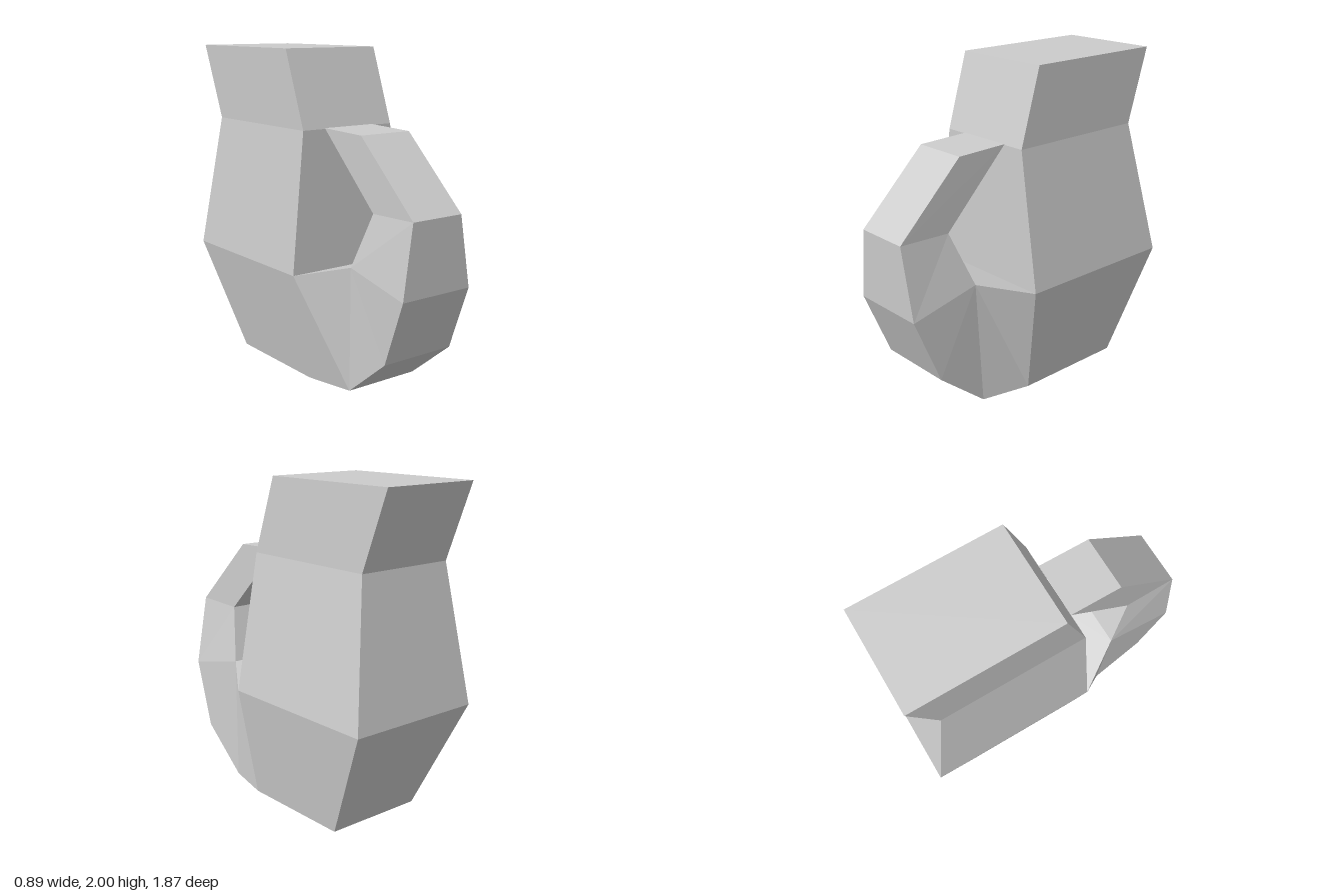
import * as THREE from 'three';

// Skin a list of four-cornered rings. Each ring has an outer and an inner
// edge running along x, written as [xMin, xMax, y, z].
function loft(rings, capStart, capEnd) {
  const corners = rings.map(([o, i]) => [
    new THREE.Vector3(o[0], o[2], o[3]),
    new THREE.Vector3(o[1], o[2], o[3]),
    new THREE.Vector3(i[1], i[2], i[3]),
    new THREE.Vector3(i[0], i[2], i[3]),
  ]);
  const positions = [];
  const triangle = (a, b, c) => {
    if (a.equals(b) || b.equals(c) || c.equals(a)) return; // rings may share an edge
    for (const p of [a, b, c]) positions.push(p.x, p.y, p.z);
  };
  const quad = (a, b, c, d) => {
    triangle(a, b, c);
    triangle(a, c, d);
  };
  for (let r = 0; r < corners.length - 1; r++) {
    for (let k = 0; k < 4; k++) {
      const n = (k + 1) % 4;
      quad(corners[r][k], corners[r][n], corners[r + 1][n], corners[r + 1][k]);
    }
  }
  if (capStart) quad(...[...corners[0]].reverse());
  if (capEnd) quad(...corners[corners.length - 1]);

  const geometry = new THREE.BufferGeometry();
  geometry.setAttribute('position', new THREE.Float32BufferAttribute(positions, 3));
  geometry.computeVertexNormals();
  return geometry;
}

export function createModel() {
  const group = new THREE.Group();
  group.name = 'jug';
  const grey = new THREE.MeshStandardMaterial({ color: 0xcccccc, flatShading: true });
  grey.name = 'grey';

  const add = (name, geometry) => {
    const mesh = new THREE.Mesh(geometry, grey);
    mesh.name = name;
    group.add(mesh);
  };

  // Body: front and back edge of each level, from base to top
  add('body', loft([
    [[-0.30, 0.34, 0, 0.13], [-0.30, 0.34, 0, -0.61]],
    [[-0.445, 0.445, 0.685, 0.175], [-0.445, 0.445, 0.685, -0.91]],
    [[-0.355, 0.30, 1.535, 0.16], [-0.355, 0.30, 1.535, -0.77]],
    [[-0.37, 0.285, 2, 0.01], [-0.37, 0.285, 2, -0.935]],
  ], true, true));

  // Handle: grows from the lower front, bends upward and meets the body at the neck
  const elbow = [-0.25, 0.25, 0.77, 0.475];
  add('handle', loft([
    [[-0.30, 0.34, 0, 0.13], [-0.445, 0.445, 0.685, 0.175]],
    [[-0.23, 0.27, 0, 0.44], elbow],
    [[-0.23, 0.27, 0.26, 0.76], elbow],
    [[-0.245, 0.25, 0.67, 0.925], elbow],
    [[-0.19, 0.165, 1.11, 0.935], [-0.19, 0.165, 1.10, 0.60]],
    [[-0.20, 0.155, 1.53, 0.50], [-0.20, 0.155, 1.54, 0.16]],
  ], false, true));

  return group;
}
